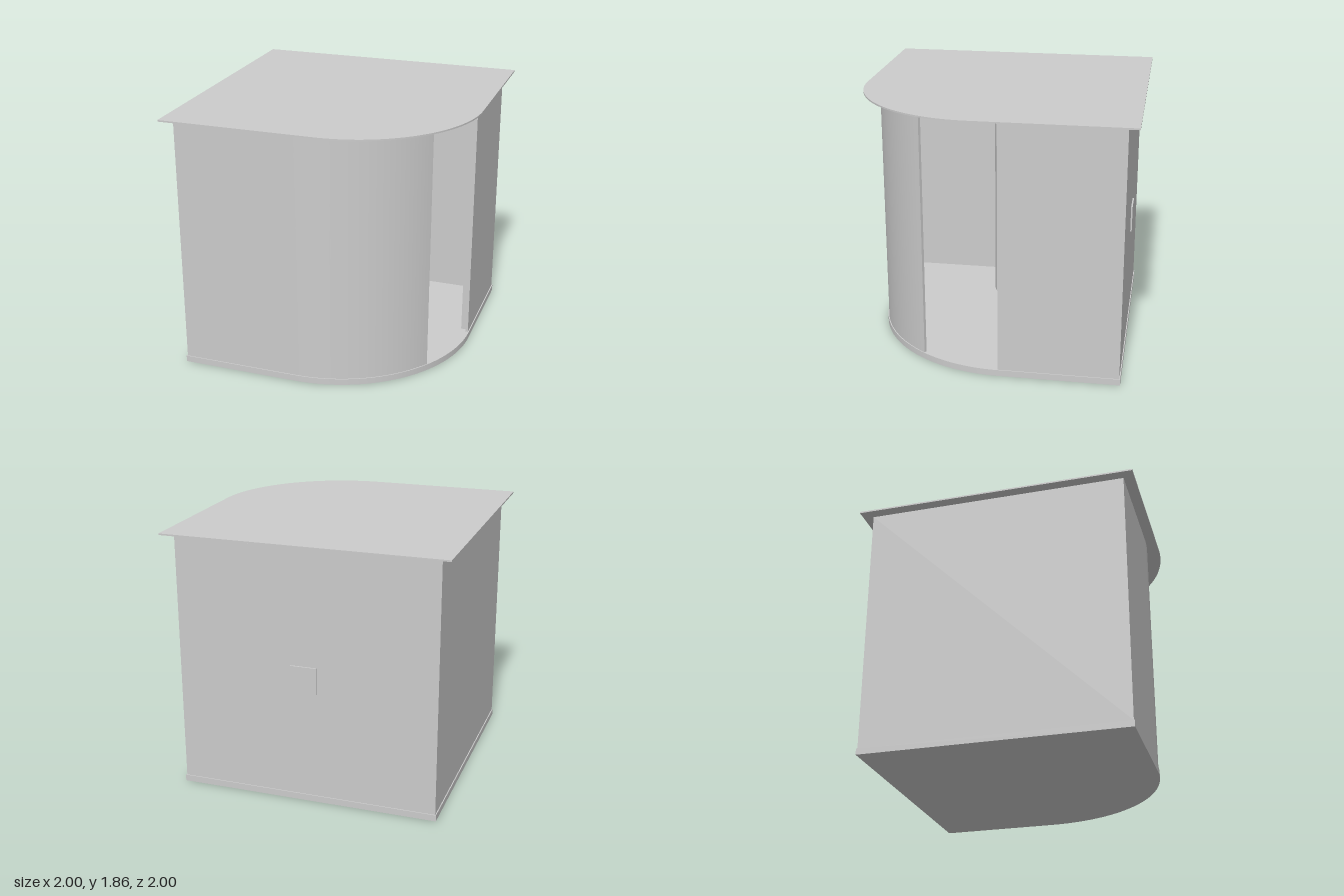
import * as THREE from 'three';
import { toCreasedNormals } from 'three/addons/utils/BufferGeometryUtils.js';

const material = new THREE.MeshStandardMaterial({ color: 0xcccccc, side: THREE.DoubleSide });
const WALL = 0.925, THICK = 0.02, C = -0.08, JAMB = 0.59;
const BASE_TOP = 0.045, ROOF_BOTTOM = 1.845;

export function createModel() {
  const group = new THREE.Group();

  const add = (name, geometry) => {
    const mesh = new THREE.Mesh(geometry, material);
    mesh.name = name;
    group.add(mesh);
    return mesh;
  };

  // Extrude a plan drawn in (x, z) between two heights
  const addPlan = (name, shape, bottom, top) => {
    const geo = new THREE.ExtrudeGeometry(shape, { depth: top - bottom, bevelEnabled: false, curveSegments: 28 });
    geo.rotateX(Math.PI / 2).translate(0, top, 0);
    return add(name, toCreasedNormals(geo, 0.4));
  };

  const addBox = (name, size, position) =>
    add(name, new THREE.BoxGeometry(...size)).position.set(...position);

  // Square plan with one large rounded corner at +x, +z
  const roundedPlan = (half, centre) => {
    const s = new THREE.Shape();
    s.moveTo(-half, -half);
    s.lineTo(half, -half);
    s.lineTo(half, centre);
    s.absarc(centre, centre, half - centre, 0, Math.PI / 2, false);
    s.lineTo(-half, half);
    s.closePath();
    return s;
  };

  // Base: thin floor inside a raised rim
  addPlan('floor', roundedPlan(0.928, C), 0, 0.01);
  const rim = roundedPlan(0.932, C);
  rim.holes.push(new THREE.Path(roundedPlan(WALL - THICK, C).getPoints(28).reverse()));
  addPlan('baseRim', rim, 0, BASE_TOP);

  // Outer wall, left open between the jamb and the right-hand side wall
  const inner = WALL - THICK;
  const wall = new THREE.Shape();
  wall.absarc(C, C, WALL - C, JAMB, Math.PI / 2, false);
  wall.lineTo(-WALL, WALL);
  wall.lineTo(-WALL, -WALL);
  wall.lineTo(WALL, -WALL);
  wall.lineTo(WALL, C);
  wall.lineTo(inner, C);
  wall.lineTo(inner, -inner);
  wall.lineTo(-inner, -inner);
  wall.lineTo(-inner, inner);
  wall.absarc(C, C, inner - C, Math.PI / 2, JAMB, true);
  wall.closePath();
  addPlan('outerWall', wall, BASE_TOP, ROOF_BOTTOM);

  // Inner partition with a rounded corner, enclosing the back left of the room
  const px = -0.29, pz = 0.18, r = 0.26;
  const partition = new THREE.Shape();
  partition.moveTo(px, -inner);
  partition.absarc(px - r, pz - r, r, 0, Math.PI / 2, false);
  partition.lineTo(-inner, pz);
  partition.lineTo(-inner, pz - THICK);
  partition.absarc(px - r, pz - r, r - THICK, Math.PI / 2, 0, true);
  partition.lineTo(px - THICK, -inner);
  partition.closePath();
  addPlan('partition', partition, 0.01, ROOF_BOTTOM);

  // Door panel parked behind the right-hand side wall
  addBox('doorPanel', [0.04, ROOF_BOTTOM - BASE_TOP, 0.55], [0.885, (ROOF_BOTTOM + BASE_TOP) / 2, -0.39]);

  // Flat roof with overhang
  addPlan('roof', roundedPlan(1, 0.1), ROOF_BOTTOM, 1.856);

  // Vent through the back wall: outside plate, inside frame and raised centre
  addBox('ventPlate', [0.19, 0.19, 0.012], [0.01, 0.905, -0.93]);
  const frame = new THREE.Shape([[-1, -1], [1, -1], [1, 1], [-1, 1]].map(([x, y]) => new THREE.Vector2(x * 0.095, y * 0.095)));
  frame.holes.push(new THREE.Path([[-1, -1], [-1, 1], [1, 1], [1, -1]].map(([x, y]) => new THREE.Vector2(x * 0.07, y * 0.07))));
  add('ventFrame', new THREE.ExtrudeGeometry(frame, { depth: 0.03, bevelEnabled: false })).position.set(0.01, 0.905, -inner);
  addBox('ventCentre', [0.1, 0.1, 0.04], [0.01, 0.905, -inner + 0.02]);

  return group;
}
